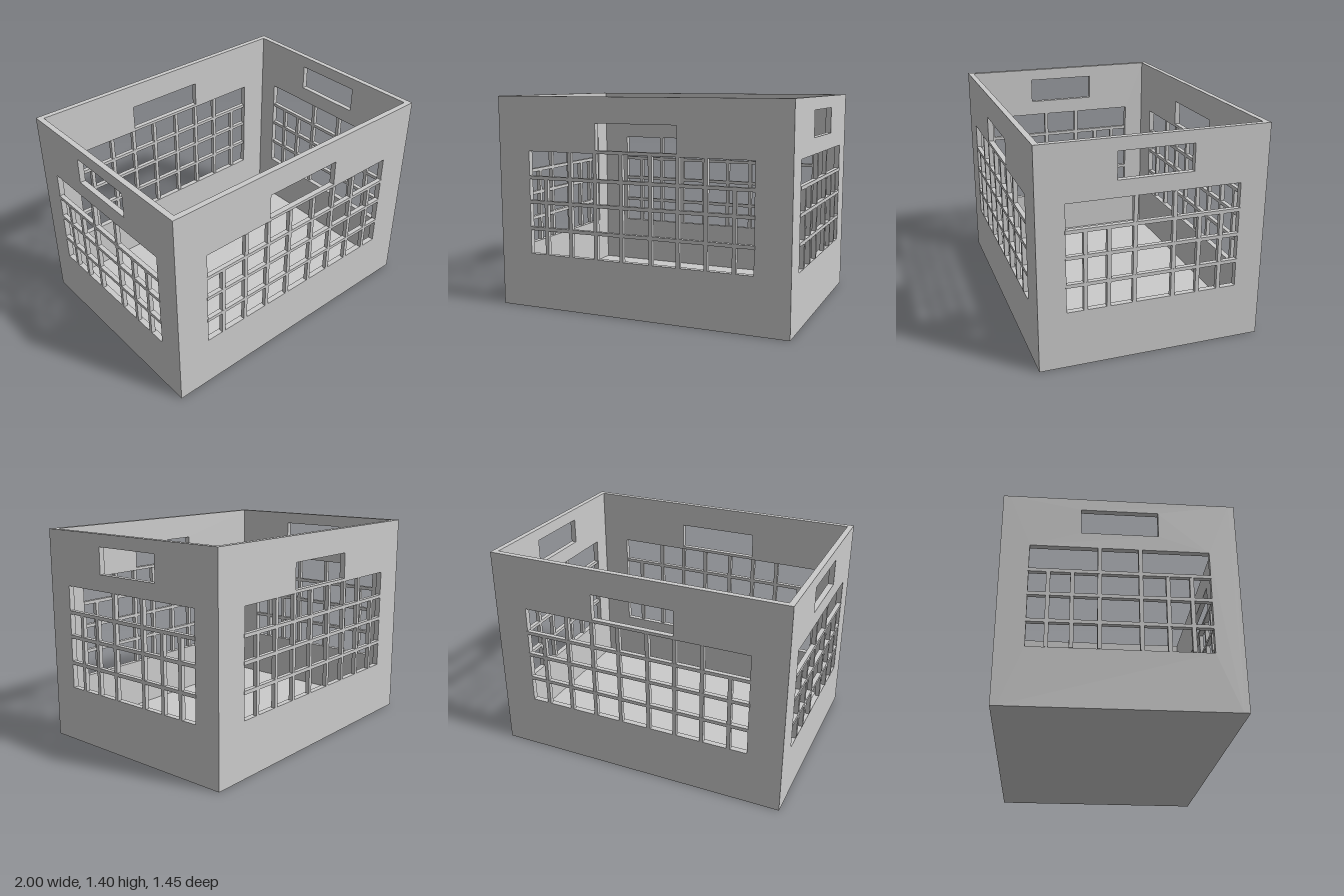
import * as THREE from 'three';

const W = 0.995, D = 0.72, H = 1.4, T = 0.037; // half width, half depth, height, wall thickness
const BAR = 0.025, BAR_DEPTH = 0.03, PROUD = 0.003;
const OPEN_Y0 = 0.365, OPEN_Y1 = 1.045; // lattice opening
const ROWS = [0.535, 0.712, 0.873];

const material = new THREE.MeshStandardMaterial({ color: 0xcccccc });

function rectPath(Type, halfW, y0, y1) {
  const p = new Type();
  p.moveTo(-halfW, y0);
  p.lineTo(halfW, y0);
  p.lineTo(halfW, y1);
  p.lineTo(-halfW, y1);
  p.closePath();
  return p;
}

function addBox(parent, name, w, h, d, x, y, z) {
  const mesh = new THREE.Mesh(new THREE.BoxGeometry(w, h, d), material);
  mesh.name = name;
  mesh.position.set(x, y, z);
  parent.add(mesh);
}

// One wall facing +z, its outer face on z = 0
function makeWall(name, { halfW, openW, handle, tall, short }) {
  const wall = new THREE.Group();
  wall.name = name;

  // Panel with lattice opening and hand hole
  const shape = rectPath(THREE.Shape, halfW, 0, H);
  shape.holes.push(rectPath(THREE.Path, openW, OPEN_Y0, OPEN_Y1));
  shape.holes.push(rectPath(THREE.Path, ...handle));
  const panel = new THREE.Mesh(
    new THREE.ExtrudeGeometry(shape, { depth: T, bevelEnabled: false }), material);
  panel.name = 'wallPanel';
  panel.position.z = -T;
  wall.add(panel);

  // Lattice: full-height bars, then short bars ending at the top row
  const z = PROUD - BAR_DEPTH / 2;
  for (const y of ROWS) addBox(wall, 'horizontalBar', openW * 2 + 0.01, BAR * 0.9, BAR_DEPTH, 0, y, z);
  const uprights = (list, top) => {
    for (const c of list) for (const s of [-1, 1]) {
      addBox(wall, 'verticalBar', BAR, top - OPEN_Y0, BAR_DEPTH - 0.002, s * c, (top + OPEN_Y0) / 2, z);
    }
  };
  uprights(tall, OPEN_Y1);
  uprights(short, ROWS[2]);
  return wall;
}

export function createModel() {
  const crate = new THREE.Group();
  crate.name = 'crate';

  const longWall = {
    halfW: W, openW: 0.768, handle: [0.277, 1.065, 1.235],
    tall: [0.1, 0.283, 0.465], short: [0.645],
  };
  const endWall = {
    halfW: D - T, openW: 0.545, handle: [0.237, 1.15, 1.32],
    tall: [0.123], short: [0.285, 0.428],
  };

  const walls = [
    ['frontWall', longWall, 0, D],
    ['leftWall', endWall, Math.PI / 2, W],
    ['backWall', longWall, Math.PI, D],
    ['rightWall', endWall, -Math.PI / 2, W],
  ];
  for (const [name, spec, angle, dist] of walls) {
    const wall = makeWall(name, spec);
    wall.rotation.y = angle;
    wall.position.set(Math.sin(angle) * dist, 0, Math.cos(angle) * dist);
    crate.add(wall);
  }

  // Floor between the walls
  addBox(crate, 'floor', 2 * (W - T), 0.035, 2 * (D - T), 0, 0.0175, 0);
  return crate;
}
